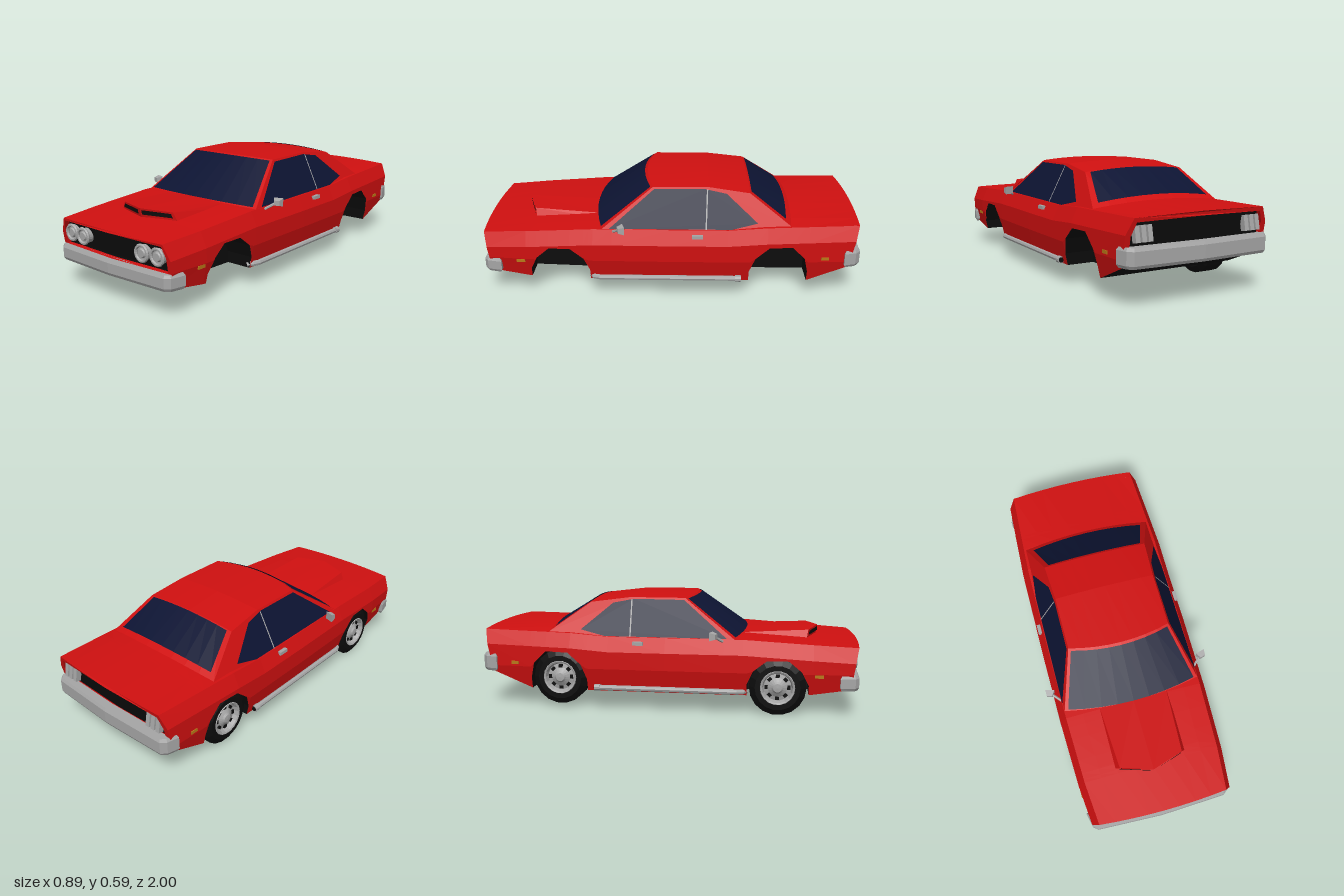
import * as THREE from 'three';

const mat = (color, side = THREE.DoubleSide) => new THREE.MeshStandardMaterial({ color, side, flatShading: true });
const RED = mat(0xd01010), BLACK = mat(0x0c0c0c), GLASS = mat(0x0d1433), CHROME = mat(0xa6a6a6), AMBER = mat(0xb87818);
const F = [-1, -0.75, -0.5, -0.25, 0, 0.25, 0.5, 0.75, 1];

// Linear look-up in a [z, value] table sorted from front to rear
function at(table, z) {
  if (z >= table[0][0]) return table[0][1];
  for (let i = 1; i < table.length; i++) {
    const [z0, a] = table[i - 1], [z1, b] = table[i];
    if (z >= z1) return a + (b - a) * (z0 - z) / (z0 - z1);
  }
  return table[table.length - 1][1];
}

const halfWidth = [[0.97, 0.375], [0.75, 0.395], [0.4, 0.407], [0, 0.412], [-0.5, 0.412], [-0.97, 0.392]];
const shoulder = [[0.97, 0.352], [0.4, 0.385], [-0.3, 0.385], [-0.5, 0.4], [-0.97, 0.41]];
const crown = [[0.97, 0.004], [0.7, 0.012], [0.3, 0.012], [-0.3, 0.012], [-0.63, 0.025], [-0.97, 0.008]];
const base = [[0.97, 0.14], [0.73, 0.11], [0.43, 0.1], [-0.72, 0.1], [-0.97, 0.19]];
// Lower edge of the body side, including both wheel arches
const sill = [[0.97, 0.14], [0.731, 0.11], [0.73, 0.16], [0.695, 0.23], [0.63, 0.285], [0.52, 0.285], [0.45, 0.23], [0.42, 0.16], [0.419, 0.1],
  [-0.41, 0.1], [-0.411, 0.16], [-0.44, 0.24], [-0.51, 0.302], [-0.63, 0.305], [-0.695, 0.24], [-0.715, 0.16], [-0.716, 0.1], [-0.97, 0.19]];
const stations = [...new Set([...sill, ...halfWidth, ...crown].map(p => p[0]))].sort((a, b) => b - a);

// Outer body width at a given height
function sideX(y, z) {
  const w = at(halfWidth, z), s = at(shoulder, z);
  return at([[s, w - 0.035], [s - 0.075, w], [0.22, w], [0.1, w - 0.028]], y);
}

// Bows and leans the nose and tail
function warp(geo) {
  const p = geo.attributes.position;
  for (let i = 0; i < p.count; i++) {
    const x = p.getX(i), y = p.getY(i), z = p.getZ(i);
    const t = Math.min(Math.max((Math.abs(z) - 0.75) / 0.22, 0), 1);
    const bow = 0.02 * (1 - (x / 0.37) ** 2);
    p.setZ(i, z + t * (z > 0 ? bow - (0.35 - y) * 0.15 : (0.41 - y) * 0.2 - bow * 0.7));
  }
  geo.computeVertexNormals();
  return geo;
}

// Surface through rows of points
function patch(rows) {
  const n = rows[0].length, idx = [];
  for (let r = 0; r < rows.length - 1; r++) for (let c = 0; c < n - 1; c++) {
    const a = r * n + c, b = a + n;
    idx.push(a, a + 1, b, a + 1, b + 1, b);
  }
  const geo = new THREE.BufferGeometry();
  geo.setAttribute('position', new THREE.Float32BufferAttribute(rows.flat(2), 3));
  geo.setIndex(idx);
  const flat = geo.toNonIndexed();
  flat.computeVertexNormals();
  return flat;
}

const toShape = pts => new THREE.Shape(pts.map(p => new THREE.Vector2(...p)));
const mirrored = half => [...half, ...half.slice().reverse().filter(p => p[0] !== 0).map(([x, y]) => [-x, y])];

export function createModel() {
  const car = new THREE.Group();
  car.name = 'car';
  const add = (name, geo, material, x = 0, y = 0, z = 0, parent = car) => {
    const m = new THREE.Mesh(geo, material);
    m.name = name;
    m.position.set(x, y, z);
    parent.add(m);
    return m;
  };
  const box = (name, w, h, d, m, x, y, z) => add(name, new THREE.BoxGeometry(w, h, d), m, x, y, z);

  // Hood and rear deck
  add('upperBody', warp(patch(stations.map(z => F.map(f =>
    [f * (at(halfWidth, z) - 0.035), at(shoulder, z) + at(crown, z) * (1 - f * f), z])))), RED);

  // Underfloor with wheel wells
  add('underfloor', warp(patch(stations.map(z => {
    const lo = at(base, z), hi = at(sill, z), w = sideX(hi, z) - 0.003;
    return [[-w, hi, z], [-0.24, hi, z], [-0.24, lo, z], [0.24, lo, z], [0.24, hi, z], [w, hi, z]];
  }))), BLACK);

  // Nose and tail panels with openings
  const endPanel = (name, z, hole) => {
    const s = at(shoulder, z), b = at(base, z);
    const outline = mirrored([[0, b], [sideX(b, z), b], [sideX(0.22, z), 0.22], [sideX(s - 0.075, z), s - 0.075],
      [sideX(s, z), s], [0, s + at(crown, z)]]);
    const solid = toShape(outline), frame = toShape(outline);
    frame.holes.push(new THREE.Path(mirrored(hole).map(p => new THREE.Vector2(...p))));
    const ext = new THREE.ExtrudeGeometry(frame, { depth: 0.03, bevelEnabled: false });
    ext.translate(0, 0, z > 0 ? z - 0.03 : z);
    add(name + 'Frame', warp(ext), RED);
    const back = new THREE.ShapeGeometry(solid);
    back.translate(0, 0, z - Math.sign(z) * 0.025);
    add(name + 'Grille', warp(back), BLACK);
  };
  endPanel('front', 0.97, [[0, 0.215], [0.352, 0.215], [0.352, 0.29], [0.332, 0.34], [0, 0.344]]);
  endPanel('rear', -0.97, [[0, 0.26], [0.365, 0.26], [0.365, 0.33], [0.342, 0.39], [0, 0.396]]);

  // Bumpers, drawn from above and raised
  const bumper = (name, half, y0, y1) => {
    const geo = new THREE.ExtrudeGeometry(toShape(mirrored(half)), {
      depth: y1 - y0 - 0.03, bevelThickness: 0.015, bevelSize: 0.008, bevelOffset: -0.008, bevelSegments: 1 });
    geo.rotateX(Math.PI / 2);
    add(name, geo, CHROME, 0, y1 - 0.015, 0);
  };
  bumper('frontBumper', [[0, 0.995], [0.35, 0.98], [0.375, 0.96], [0.392, 0.885], [0.365, 0.885], [0.345, 0.93], [0, 0.945]], 0.137, 0.215);
  bumper('rearBumper', [[0, -1], [0.365, -0.985], [0.39, -0.96], [0.405, -0.9], [0.375, -0.9], [0.35, -0.93], [0, -0.94]], 0.19, 0.283);

  // Cabin: rows across the car, each bowed in height and depth
  const row = (x, y, z, by, bz) => F.map(f => [f * x, y + by * (1 - f * f), z + bz * (1 - f * f)]);
  const cabin = [row(0.37, 0.385, 0.36, 0.01, 0.045), row(0.2715, 0.582, 0.09, 0.01, 0.04), row(0.2715, 0.582, -0.2, 0.012, 0),
    row(0.285, 0.555, -0.41, 0.015, 0), row(0.36, 0.405, -0.62, 0.025, -0.02)];
  add('roof', patch(cabin), RED);
  const glassRow = (a, b, t, sx, dz) => a.map((p, i) => {
    const [x, y, z] = p.map((v, k) => v + (b[i][k] - v) * t);
    return [x * sx, y + 0.004, z + dz];
  });
  const pane = (name, a, b, t0, t1, sx, dz) =>
    add(name, patch([glassRow(a, b, t0, sx, dz), glassRow(a, b, t1, sx, dz)]), GLASS);
  pane('windshield', cabin[0], cabin[1], 0.02, 0.96, 0.95, 0.004);
  pane('rearWindow', cabin[3], cabin[4], 0.02, 0.87, 0.91, -0.004);

  // Cabin sides lean inward with height
  const lean = y => 0.37 - 0.5 * (y - 0.385);
  const leaning = (name, pts, s, out, m) => {
    const geo = new THREE.ShapeGeometry(toShape(pts)), p = geo.attributes.position;
    for (let i = 0; i < p.count; i++) p.setXYZ(i, s * (lean(p.getY(i)) + out), p.getY(i), p.getX(i));
    geo.computeVertexNormals();
    add(name, geo, m);
  };

  // Hood scoop with two intakes
  add('scoop', patch([
    [[-0.2, 0.375, 0.4], [-0.185, 0.396, 0.4], [0, 0.402, 0.4], [0.185, 0.396, 0.4], [0.2, 0.375, 0.4]],
    [[-0.195, 0.36, 0.72], [-0.167, 0.413, 0.73], [0, 0.418, 0.785], [0.167, 0.413, 0.73], [0.195, 0.36, 0.72]],
    [[-0.195, 0.36, 0.72], [-0.175, 0.36, 0.725], [0, 0.365, 0.775], [0.175, 0.36, 0.725], [0.195, 0.36, 0.72]]]), RED);

  for (const s of [1, -1]) {
    const side = s > 0 ? 'left' : 'right';
    // Body side
    add(side + 'BodySide', warp(patch(stations.map(z => {
      const lo = at(sill, z), top = at(shoulder, z);
      return [top, top - 0.075, 0.22, lo].map(v => Math.max(v, lo)).map(y => [s * sideX(y, z), y, z]);
    }))), RED);
    leaning(side + 'CabinSide', [[0.36, 0.38], [0.09, 0.582], [-0.2, 0.582], [-0.41, 0.555], [-0.62, 0.405], [-0.62, 0.38]], s, 0, RED);
    leaning(side + 'Window', [[0.315, 0.388], [0.085, 0.572], [-0.18, 0.574], [-0.29, 0.553], [-0.45, 0.418], [-0.32, 0.388]], s, 0.004, GLASS);
    leaning(side + 'WindowDivider', [[-0.181, 0.388], [-0.187, 0.573], [-0.194, 0.573], [-0.188, 0.388]], s, 0.007, CHROME);
    add(side + 'ScoopIntake', patch([
      [[s * 0.012, 0.41, 0.785], [s * 0.16, 0.406, 0.736]], [[s * 0.012, 0.388, 0.783], [s * 0.17, 0.386, 0.733]]]), BLACK);

    // Headlights
    for (const x of [0.295, 0.203]) {
      const z = 0.962 + 0.02 * (1 - (x / 0.37) ** 2);
      add('headlightRim', new THREE.TorusGeometry(0.037, 0.008, 6, 20), CHROME, s * x, 0.283, z - 0.008);
      add('headlightBowl', new THREE.CylinderGeometry(0.037, 0.037, 0.03, 20).rotateX(Math.PI / 2), CHROME, s * x, 0.283, z - 0.028);
      add('headlightLens', new THREE.CylinderGeometry(0.018, 0.026, 0.012, 16).rotateX(Math.PI / 2), CHROME, s * x, 0.283, z - 0.01);
    }
    // Tail lamps
    for (const x of [0.268, 0.301, 0.334]) box('tailLamp', 0.023, 0.075, 0.03, CHROME, s * x, 0.335, -0.945).rotation.x = 0.2;

    // Side markers and door handle
    box('frontMarker', 0.012, 0.016, 0.045, AMBER, s * (sideX(0.21, 0.78) - 0.002), 0.21, 0.78);
    box('rearMarker', 0.012, 0.016, 0.04, AMBER, s * (sideX(0.24, -0.8) - 0.002), 0.24, -0.8);
    box('doorHandle', 0.022, 0.018, 0.055, CHROME, s * (sideX(0.355, -0.14) + 0.004), 0.356, -0.14);

    // Mirror
    const arm = new THREE.LineCurve3(new THREE.Vector3(s * 0.368, 0.37, 0.3), new THREE.Vector3(s * 0.41, 0.4, 0.26));
    add('mirrorArm', new THREE.TubeGeometry(arm, 1, 0.007, 6), CHROME);
    const head = new THREE.CylinderGeometry(0.03, 0.018, 0.03, 4, 1).rotateY(Math.PI / 4).rotateX(-Math.PI / 2);
    const mirror = add('mirrorHead', head, CHROME, s * 0.424, 0.407, 0.252);
    mirror.scale.set(1.15, 1, 1);
    mirror.rotation.y = s * 0.3;

    // Side exhaust
    const pipe = new THREE.CurvePath();
    const pts = [[0.36, 0.115, 0.415], [0.398, 0.12, 0.39], [0.4, 0.12, -0.35]].map(([x, y, z]) => new THREE.Vector3(s * x, y, z));
    pipe.add(new THREE.LineCurve3(pts[0], pts[1]));
    pipe.add(new THREE.LineCurve3(pts[1], pts[2]));
    add('sidePipe', new THREE.TubeGeometry(pipe, 24, 0.014, 8), CHROME);
    add('pipeTip', new THREE.CylinderGeometry(0.018, 0.018, 0.03, 10).rotateX(Math.PI / 2), CHROME, s * 0.4, 0.12, -0.355);
    add('pipeMouth', new THREE.CircleGeometry(0.014, 10).rotateY(Math.PI), BLACK, s * 0.4, 0.12, -0.3715);
  }

  // Wheels on the right-hand side
  const wheel = (name, z, y, width) => {
    const g = new THREE.Group(), R = 0.145, h = width / 2;
    g.name = name;
    const lathe = pts => new THREE.LatheGeometry(pts.map(p => new THREE.Vector2(...p)), 18).rotateZ(Math.PI / 2);
    add('tyre', lathe([[0, -h], [R - 0.03, -h], [R, -h + 0.02], [R, h - 0.02], [R - 0.03, h], [0.088, h], [0.084, h - 0.03]]), BLACK, 0, 0, 0, g);
    add('rim', lathe([[0.09, h - 0.002], [0.086, h + 0.004], [0.078, h], [0.07, h - 0.025], [0.05, h - 0.02], [0.03, h - 0.008], [0.022, h], [0, h + 0.002]]), CHROME, 0, 0, 0, g);
    for (let i = 0; i < 8; i++) {
      const a = i * Math.PI / 4;
      add('rimSlot', new THREE.BoxGeometry(0.012, 0.016, 0.02), BLACK, -h + 0.021, Math.cos(a) * 0.057, Math.sin(a) * 0.057, g).rotation.x = a;
    }
    g.position.set(-0.39 + h, y, z);
    car.add(g);
  };
  wheel('frontWheel', 0.575, 0.145, 0.11);
  wheel('rearWheel', -0.56, 0.165, 0.14);
  return car;
}
